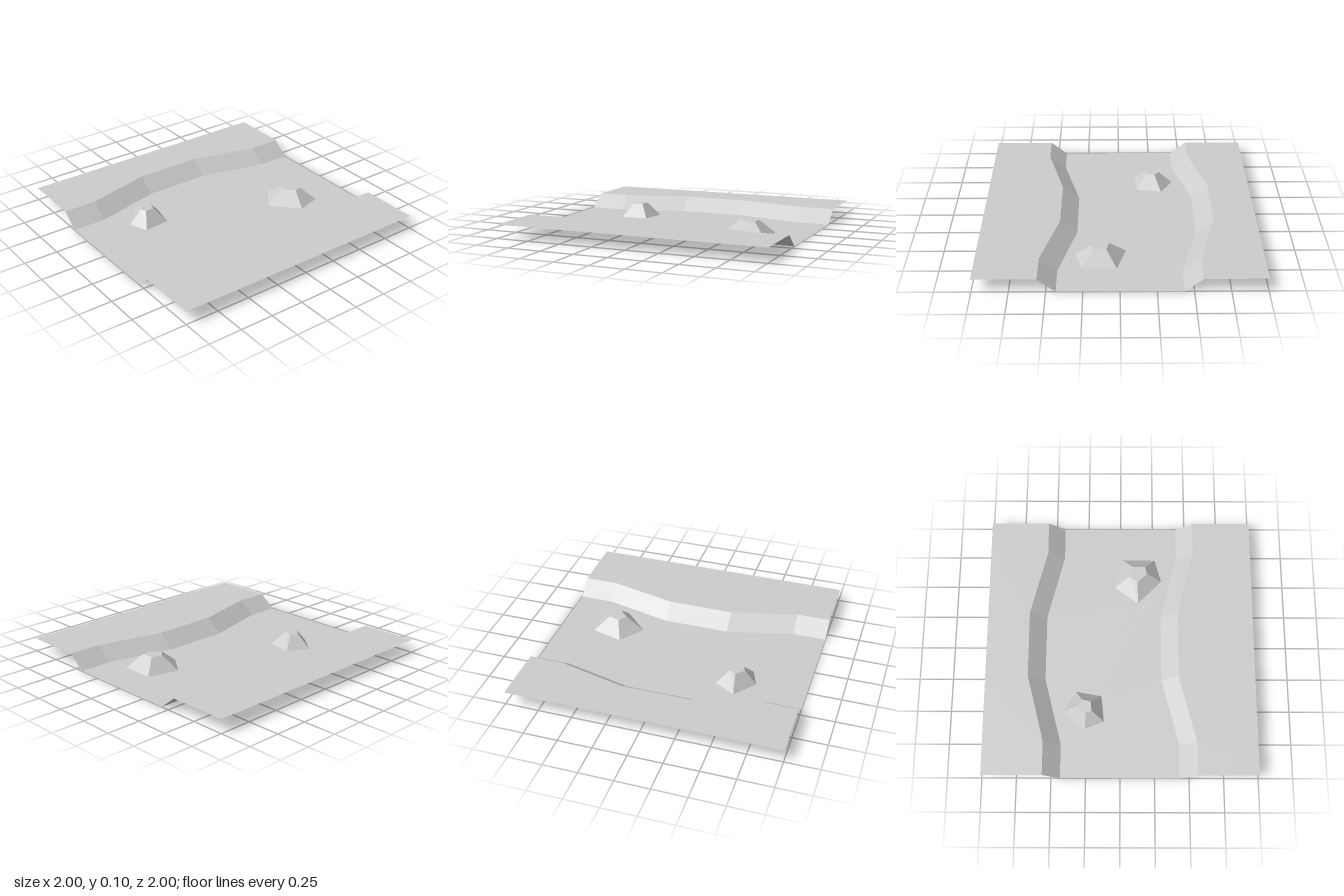
import * as THREE from 'three';

const HEIGHT = 0.1;
const stone = new THREE.MeshStandardMaterial({ color: 0xcccccc, flatShading: true, side: THREE.DoubleSide });
stone.name = 'pale grey ground';

// Stations of the winding channel, back to front: [z, sideways shift]
const bends = [[-1, 0], [-0.75, 0], [-0.25, -0.125], [0.25, -0.125], [0.75, 0], [1, 0]];
const line = (x, y) => bends.map(([z, shift]) => [x + shift, y, z]);
const straight = (x, y) => bends.map(([z]) => [x, y, z]);

function surface(name, triangles) {
  const geometry = new THREE.BufferGeometry();
  geometry.setAttribute('position', new THREE.Float32BufferAttribute(triangles.flat(2), 3));
  geometry.computeVertexNormals();
  const mesh = new THREE.Mesh(geometry, stone);
  mesh.name = name;
  return mesh;
}

// Strip between two lines; the first lies to the left in plan (smaller x), so it faces up
function strip(name, a, b) {
  const triangles = [];
  for (let i = 0; i < a.length - 1; i++) {
    triangles.push([a[i], a[i + 1], b[i + 1]], [a[i], b[i + 1], b[i]]);
  }
  return surface(name, triangles);
}

// Hollow five-sided boulder: sloping sides and a small flat cap
function boulder(name, base, cap) {
  const triangles = [];
  const low = base.map(([x, z]) => [x, 0, z]);
  const high = cap.map(([x, z]) => [x, HEIGHT, z]);
  const n = base.length;
  for (let i = 0; i < n; i++) {
    const j = (i + 1) % n;
    triangles.push([low[i], high[i], high[j]], [low[i], high[j], low[j]]);
    if (i > 0 && i < n - 1) triangles.push([high[0], high[j], high[i]]);
  }
  return surface(name, triangles);
}

export function createModel() {
  const group = new THREE.Group();
  group.name = 'riverbed';

  // Raised ground and sloping banks on both sides
  const rightCrest = line(-0.56, HEIGHT), rightFoot = line(-0.435, 0);
  const leftFoot = line(0.433, 0), leftCrest = line(0.557, HEIGHT);
  group.add(
    strip('rightGround', straight(-1, HEIGHT), rightCrest),
    strip('rightBank', rightCrest, rightFoot),
    strip('leftBank', leftFoot, leftCrest),
    strip('leftGround', leftCrest, straight(1, HEIGHT)),
  );

  // Boulder outlines in plan [x, z], clockwise from the back
  const boulders = [
    {
      name: 'backBoulder',
      base: [[0.02, -0.73], [0.265, -0.73], [0.315, -0.55], [0.135, -0.37], [-0.045, -0.5]],
      cap: [[0.095, -0.63], [0.188, -0.63], [0.204, -0.573], [0.13, -0.5], [0.072, -0.55]],
    },
    {
      name: 'frontBoulder',
      base: [[-0.33, 0.345], [-0.14, 0.38], [-0.12, 0.575], [-0.26, 0.63], [-0.42, 0.5]],
      cap: [[-0.28, 0.435], [-0.217, 0.45], [-0.21, 0.52], [-0.252, 0.54], [-0.315, 0.485]],
    },
  ];
  for (const { name, base, cap } of boulders) group.add(boulder(name, base, cap));

  // Channel floor, open beneath the boulders
  const outline = [...rightFoot, ...leftFoot.slice().reverse()];
  const shape = new THREE.Shape(outline.map(([x, , z]) => new THREE.Vector2(x, -z)));
  for (const { base } of boulders) {
    shape.holes.push(new THREE.Path(base.map(([x, z]) => new THREE.Vector2(x, -z))));
  }
  const floor = new THREE.Mesh(new THREE.ShapeGeometry(shape).rotateX(-Math.PI / 2), stone);
  floor.name = 'channelFloor';
  group.add(floor);

  return group;
}
